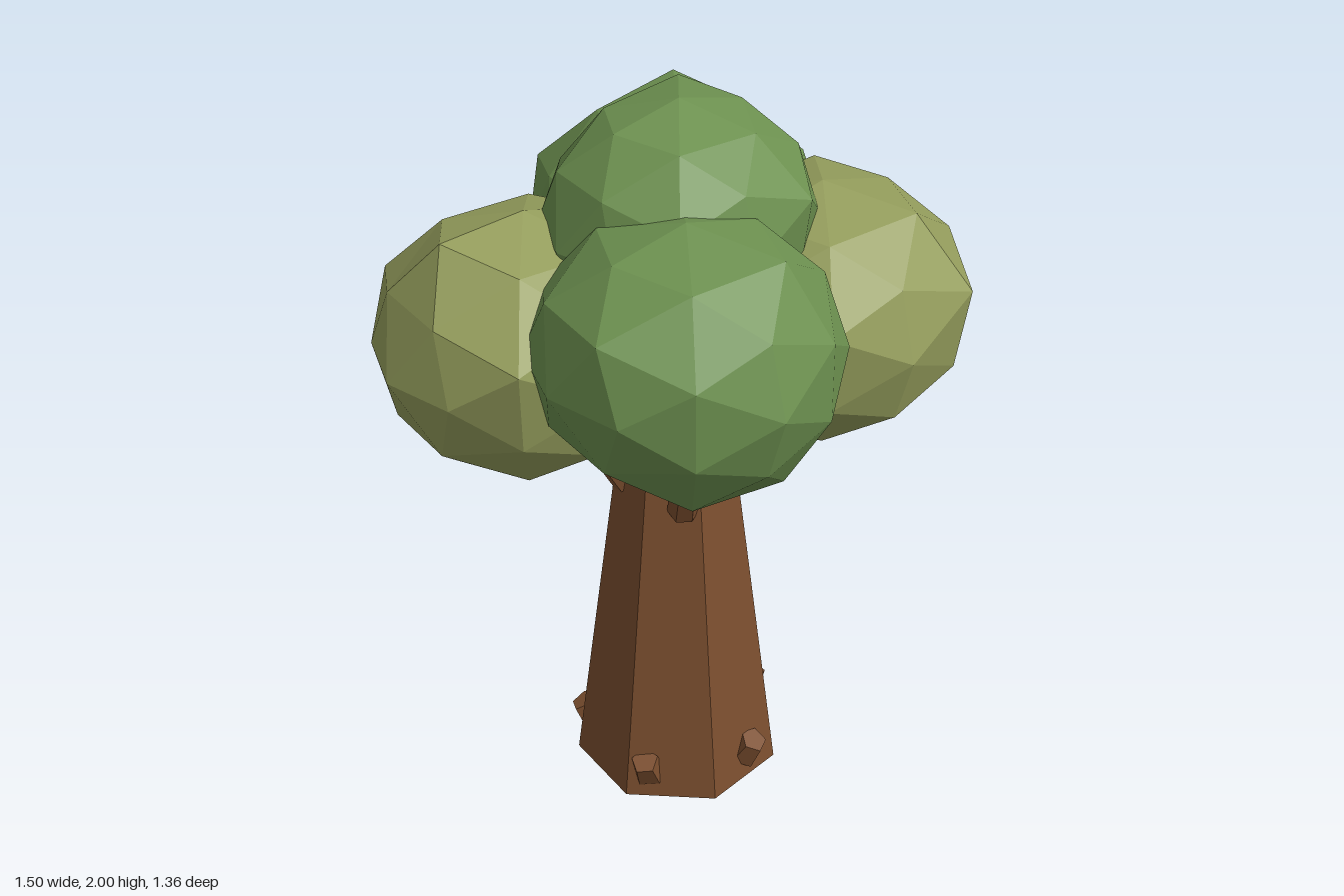
import * as THREE from 'three';

const mat = (color) => new THREE.MeshStandardMaterial({ color, flatShading: true });
const UP = new THREE.Vector3(0, 1, 0);

// Faceted ball with single corners pushed outwards along the given directions
function clumpGeometry(radii, bulges) {
  const geometry = new THREE.IcosahedronGeometry(1, 1);
  const p = geometry.attributes.position, v = new THREE.Vector3(), dir = new THREE.Vector3();
  for (const [x, y, z, amount] of bulges) {
    dir.set(x, y, z).normalize();
    for (let i = 0; i < p.count; i++) {
      v.fromBufferAttribute(p, i);
      if (v.dot(dir) / v.length() < 0.97) continue;
      v.multiplyScalar(1 + amount);
      p.setXYZ(i, v.x, v.y, v.z);
    }
  }
  geometry.scale(...radii);
  geometry.computeVertexNormals();
  return geometry;
}

export function createModel() {
  const tree = new THREE.Group();
  tree.name = 'tree';
  const bark = mat(0x7c4f2f), green = mat(0x6d9150), olive = mat(0x949d5c);
  const axisZ = -0.03; // trunk axis

  const add = (name, geometry, material) => {
    const mesh = new THREE.Mesh(geometry, material);
    mesh.name = name;
    tree.add(mesh);
    return mesh;
  };

  // Tapered stick between two points
  const stick = (name, from, to, r0, r1, sides) => {
    const dir = to.clone().sub(from);
    const mesh = add(name, new THREE.CylinderGeometry(r1, r0, dir.length(), sides), bark);
    mesh.position.copy(from).addScaledVector(dir, 0.5);
    mesh.quaternion.setFromUnitVectors(UP, dir.normalize());
  };

  // Seven-sided trunk with a corner on +x
  const trunk = add('trunk', new THREE.CylinderGeometry(0.156, 0.287, 1.025, 7), bark);
  trunk.position.set(0, 0.5125, axisZ);
  trunk.rotation.y = Math.PI / 2;

  // Root knobs around the base
  for (let i = 0; i < 5; i++) {
    const a = (i * Math.PI * 2) / 5;
    const at = (r, y) => new THREE.Vector3(Math.cos(a) * r, y, axisZ + Math.sin(a) * r);
    stick('rootKnob', at(0.232, 0.06), at(0.27, 0.128), 0.048, 0.038, 5);
  }

  // Foliage: centre, radii, material, bulges (direction and amount)
  const clumps = [
    { name: 'topFoliage', c: [0, 1.69, -0.02], r: [0.353, 0.31, 0.325], m: green,
      bulges: [[0.31, 0.81, -0.5, 0.1], [-0.5, 0.31, 0.81, 0.08], [0.5, 0.31, 0.81, 0.08]] },
    { name: 'frontFoliage', c: [-0.185, 1.515, 0.28], r: [0.385, 0.335, 0.395], m: green,
      bulges: [[0.31, -0.81, 0.5, 0.12], [-0.31, -0.81, 0.5, 0.08], [0.31, 0.81, 0.5, 0.07],
        [-0.81, 0.5, 0.31, 0.06]] },
    { name: 'backFoliage', c: [0.18, 1.5, -0.29], r: [0.39, 0.345, 0.39], m: green,
      bulges: [[0.5, 0.31, -0.81, 0.13], [0.31, 0.81, -0.5, 0.14], [-0.5, 0.31, -0.81, 0.1],
        [0.5, -0.31, -0.81, 0.08], [0.31, -0.81, -0.5, 0.1]] },
    { name: 'leftFoliage', c: [0.35, 1.39, 0.1], r: [0.4, 0.345, 0.385], m: olive,
      bulges: [[0.5, 0.31, 0.81, 0.09], [-0.5, 0.31, 0.81, 0.08], [0.31, 0.81, 0.5, 0.08],
        [0.31, 0.81, -0.5, 0.06]] },
    { name: 'rightFoliage', c: [-0.35, 1.385, -0.175], r: [0.4, 0.352, 0.372], m: olive,
      bulges: [[-0.5, 0.31, -0.81, 0.1], [0.5, 0.31, -0.81, 0.1], [-0.5, 0.31, 0.81, 0.12],
        [-0.53, 0.85, 0, 0.1]] },
  ];
  for (const { name, c, r, m, bulges } of clumps) {
    add(name, clumpGeometry(r, bulges), m).position.set(...c);
  }

  // Branches from the trunk's upper sides into the four outer clumps
  const branches = [
    [[-0.07, 0.9, 0.1], [-0.155, 1.35, 0.28]],
    [[0.07, 0.9, -0.16], [0.16, 1.35, -0.35]],
    [[0.13, 0.9, 0.03], [0.31, 1.22, 0.09]],
    [[-0.125, 0.915, -0.08], [-0.29, 1.22, -0.15]],
  ];
  for (const [from, to] of branches) {
    stick('branch', new THREE.Vector3(...from), new THREE.Vector3(...to), 0.042, 0.037, 6);
  }
  return tree;
}
